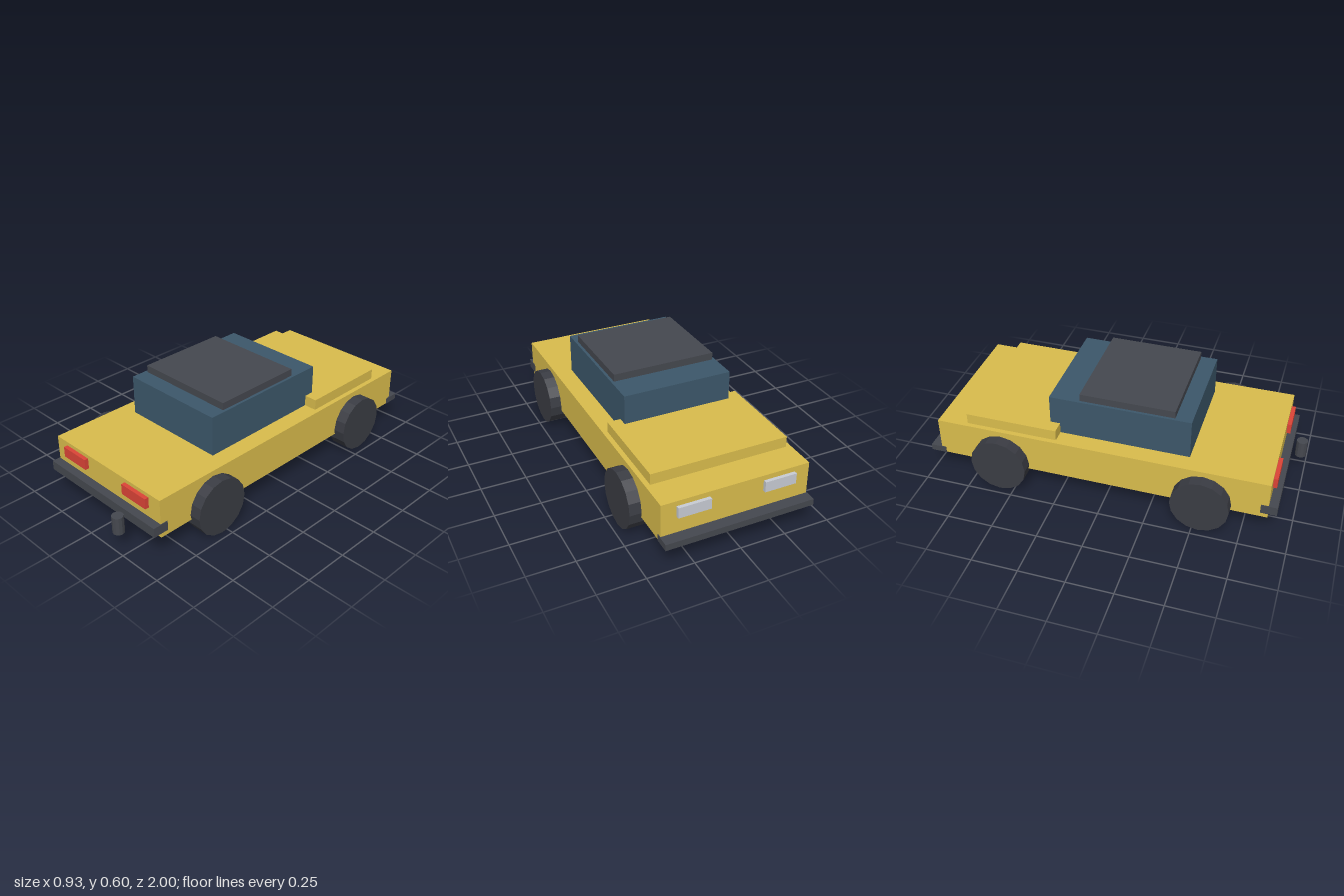
import * as THREE from 'three';

const mat = (color) => new THREE.MeshStandardMaterial({ color, flatShading: true });

export function createModel() {
  const car = new THREE.Group();
  car.name = 'car';
  const yellow = mat(0xd9bc4c), glass = mat(0x3c576a), dark = mat(0x45484f);
  const rubber = mat(0x3a3c43), red = mat(0xdb4437), lamp = mat(0xc8ccd4);

  const add = (name, geometry, material, x, y, z) => {
    const mesh = new THREE.Mesh(geometry, material);
    mesh.name = name;
    mesh.position.set(x, y, z);
    car.add(mesh);
    return mesh;
  };
  // Box given by its extents on each axis
  const box = (name, material, [x0, x1], [y0, y1], [z0, z1]) =>
    add(name, new THREE.BoxGeometry(x1 - x0, y1 - y0, z1 - z0), material,
      (x0 + x1) / 2, (y0 + y1) / 2, (z0 + z1) / 2);

  // Bodywork
  box('body', yellow, [-0.4, 0.4], [0.127, 0.341], [-0.938, 0.878]);
  box('hood', yellow, [-0.374, 0.374], [0.33, 0.4], [-0.773, -0.266]);
  box('cabin', glass, [-0.302, 0.302], [0.33, 0.56], [-0.32, 0.441]);
  box('roof', dark, [-0.287, 0.287], [0.55, 0.6], [-0.157, 0.352]);

  // Bumpers at both ends
  box('hoodEndBumper', dark, [-0.404, 0.404], [0.127, 0.162], [-1, -0.914]);
  box('trunkEndBumper', dark, [-0.404, 0.404], [0.154, 0.206], [0.838, 0.924]);

  // Lights and wheels, mirrored across x
  const tyre = new THREE.CylinderGeometry(0.156, 0.156, 0.098, 16).rotateZ(Math.PI / 2);
  for (const [side, s] of [['left', 1], ['right', -1]]) {
    const span = s > 0 ? [0.145, 0.319] : [-0.319, -0.145];
    box(side + 'TailLight', red, span, [0.262, 0.32], [0.86, 0.9]);
    box(side + 'HeadLight', lamp, span, [0.255, 0.313], [-0.957, -0.92]);
    add(side + 'HoodEndWheel', tyre, rubber, s * 0.414, 0.156, -0.576);
    add(side + 'TrunkEndWheel', tyre, rubber, s * 0.414, 0.156, 0.533);
  }

  // Upright exhaust pipe
  add('exhaustPipe', new THREE.CylinderGeometry(0.031, 0.031, 0.098, 12), dark, 0.19, 0.146, 0.969);
  return car;
}
